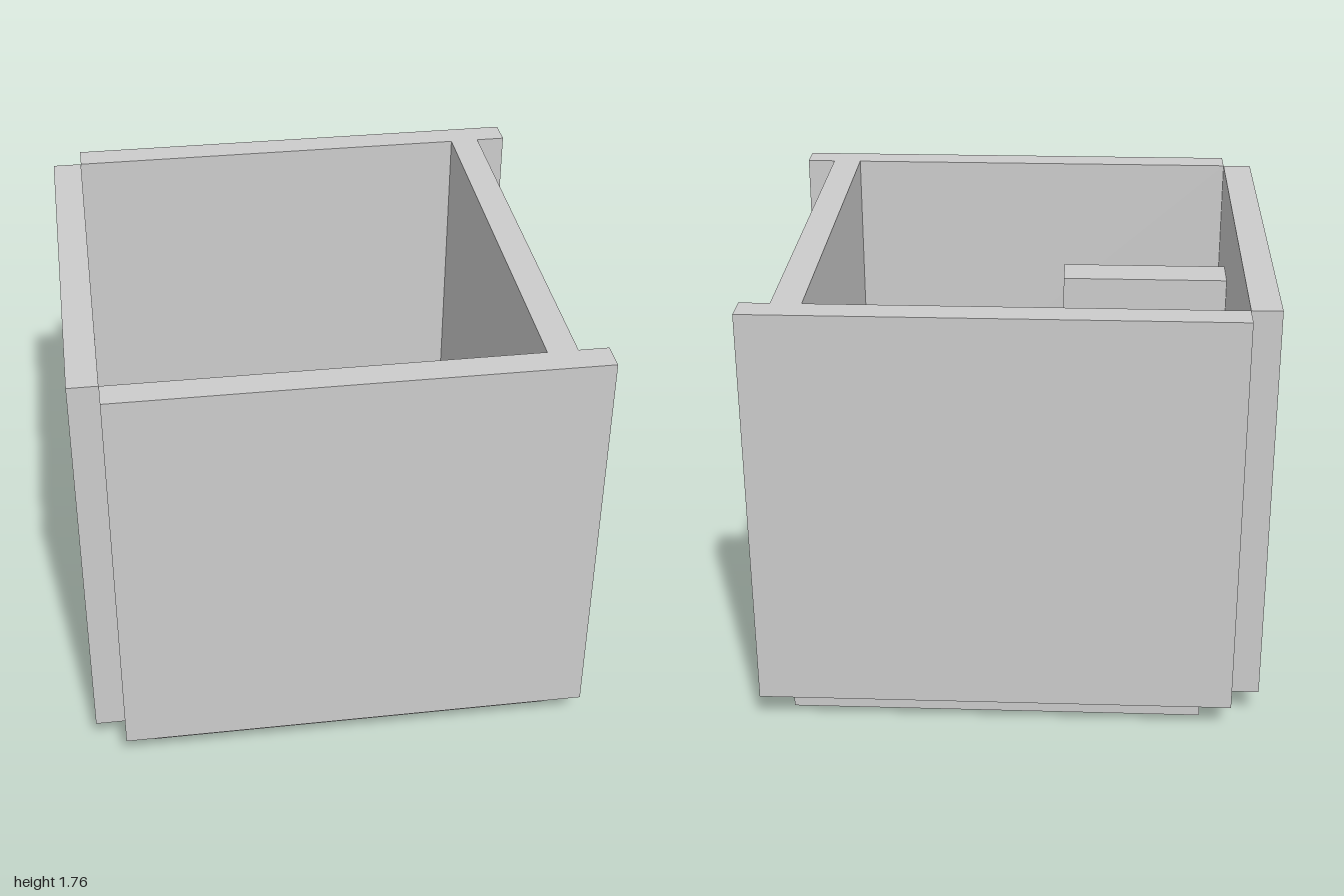
import * as THREE from 'three';

// one grid step: the panel thickness
const U = 2 / 17;

export function createModel() {
  const model = new THREE.Group();
  model.name = 'puzzleBox';
  const grey = new THREE.MeshStandardMaterial({ color: 0xcccccc });
  grey.name = 'plain grey';

  const add = (name, geometry) => {
    const mesh = new THREE.Mesh(geometry, grey);
    mesh.name = name;
    model.add(mesh);
    return mesh;
  };

  // box from its lower and upper corners, in grid steps
  const block = (name, [x0, y0, z0], [x1, y1, z1]) => {
    const geometry = new THREE.BoxGeometry((x1 - x0) * U, (y1 - y0) * U, (z1 - z0) * U);
    geometry.translate((x0 + x1) / 2 * U, (y0 + y1) / 2 * U, (z0 + z1) / 2 * U);
    return add(name, geometry);
  };

  // extruded outline, in grid steps
  const slab = (points, depth) => new THREE.ExtrudeGeometry(
    new THREE.Shape(points.map(([a, b]) => new THREE.Vector2(a * U, b * U))),
    { depth: depth * U, bevelEnabled: false });

  // floor and the wall on the model's left, one L-shaped profile
  add('floorAndLeftWall', slab(
    [[-6.5, 0], [7.5, 0], [7.5, 15], [6.5, 15], [6.5, 1], [-6.5, 1]], 15)
    .translate(0, 0, -7.5 * U));

  // offset sliding walls
  block('frontWall', [-7.5, 1, 7.5], [8.5, 15, 8.5]);
  block('backWall', [-7.5, 1, -8.5], [8.5, 15, -7.5]);
  block('rightWall', [-8.5, 1, -7.5], [-7.5, 15, 7.5]);

  // bar reaching inward from the right wall
  block('lockBar', [-7.5, 9, 3], [-1.5, 12, 4.5]);

  // hook reaching inward from the left wall, outlined in plan
  add('hook', slab(
    [[6.5, 1.5], [6.5, 4.5], [-3.5, 4.5], [-3.5, -3], [-0.5, -3], [-0.5, 1.5]], 3)
    .rotateX(Math.PI / 2).translate(0, 7.5 * U, 0));

  // small stepped peg on the floor
  block('pegBase', [0, 1, -1.25], [2.25, 4, 1]);
  block('pegTop', [0.125, 4, -1.25], [2.25, 5, 1]);

  return model;
}
